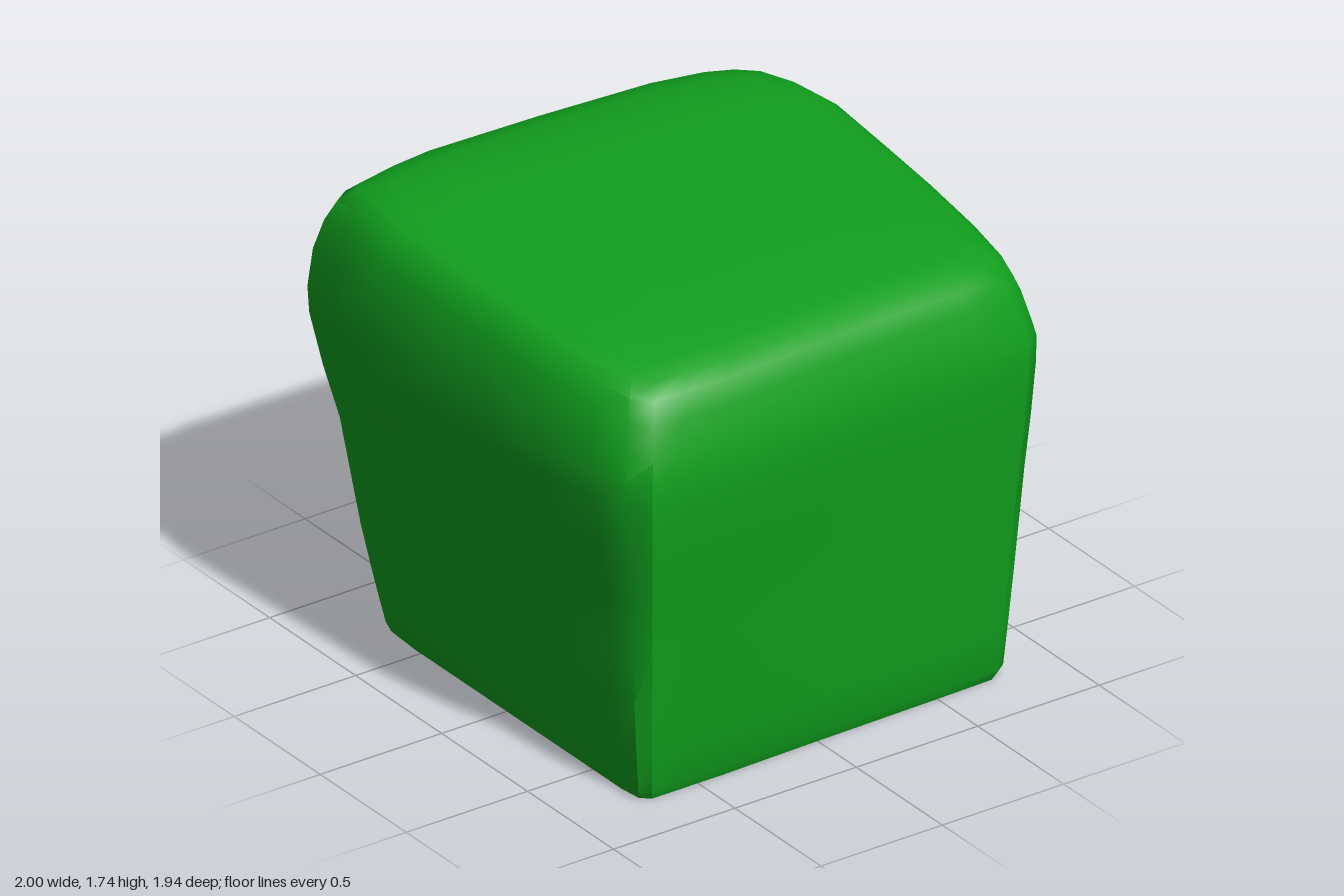
import * as THREE from 'three';
import { toCreasedNormals } from 'three/addons/utils/BufferGeometryUtils.js';

// Widest plan outline [x, z], counter-clockwise seen from above, from the front -x corner
const WIDE = [
  [-0.80, 0.945], [-0.68, 0.957], [-0.48, 0.965], [0, 0.935], [0.30, 0.91], [0.60, 0.90], [0.80, 0.88],
  [0.87, 0.82], [0.90, 0.73], [0.93, 0.52], [0.965, 0.20], [0.985, -0.10], [1.0, -0.45], [0.975, -0.65], [0.94, -0.82],
  [0.87, -0.895], [0.75, -0.925], [0.52, -0.96], [0, -0.97], [-0.52, -0.972], [-0.70, -0.95], [-0.86, -0.93],
  [-0.93, -0.88], [-0.965, -0.70], [-1.0, -0.45], [-0.98, -0.10], [-0.965, 0.20], [-0.95, 0.52], [-0.91, 0.75], [-0.87, 0.88],
];
// Matching outline at the foot, a nearly square one with small corner cuts
const FOOT = [
  [-0.70, 0.80], [-0.58, 0.80], [-0.40, 0.80], [0, 0.79], [0.30, 0.785], [0.55, 0.78], [0.74, 0.775],
  [0.785, 0.745], [0.80, 0.69], [0.80, 0.48], [0.80, 0.20], [0.80, -0.10], [0.80, -0.40], [0.80, -0.55], [0.795, -0.69],
  [0.755, -0.735], [0.65, -0.75], [0.45, -0.755], [0, -0.755], [-0.45, -0.755], [-0.58, -0.75], [-0.70, -0.74],
  [-0.735, -0.70], [-0.745, -0.55], [-0.745, -0.40], [-0.745, -0.10], [-0.745, 0.20], [-0.745, 0.48], [-0.745, 0.68], [-0.735, 0.77],
];

// Piecewise linear lookup
function lookup(table, v) {
  if (v <= table[0][0]) return table[0][1];
  for (let i = 1; i < table.length; i++) {
    const [a, p] = table[i - 1], [b, q] = table[i];
    if (v <= b) return p + ((q - p) * (v - a)) / (b - a);
  }
  return table[table.length - 1][1];
}

// Height of the uneven top: a slope along z plus a sag along x
const RIDGE = [[-0.95, 1.66], [-0.84, 1.69], [-0.62, 1.735], [-0.42, 1.74], [-0.1, 1.715], [0.2, 1.695], [0.58, 1.67], [0.88, 1.62], [0.97, 1.58]];
const SAG = [[-1, -0.05], [-0.85, -0.025], [-0.55, 0], [0, -0.01], [0.6, -0.03], [0.85, -0.07], [1, -0.10]];
const topHeight = (x, z) => lookup(RIDGE, z) + lookup(SAG, x);

// Wall levels [y, blend from foot to wide outline]
const WALL = [[0.035, 0], [0.2, 0.15], [0.4, 0.32], [0.6, 0.48], [0.8, 0.64], [1.0, 0.83], [1.2, 0.98], [1.3, 1]];
// Shoulder and top rings [scale, drop below the top height]
const CAP = [[0.985, 0.20], [0.955, 0.10], [0.92, 0.035], [0.87, 0.004], [0.78, 0], [0.6, 0], [0.4, 0], [0.2, 0]];

function blockGeometry() {
  const n = WIDE.length;
  const rings = [];

  // Underside edge
  rings.push(FOOT.map(([x, z]) => [x * 0.982, 0, z * 0.98]));

  // Flaring walls, with a slight hollow near the front -x corner
  for (const [y, t] of WALL) {
    rings.push(WIDE.map(([wx, wz], i) => {
      const [fx, fz] = FOOT[i];
      const hollow = wx < -0.85 ? 0.09 * Math.exp(-(((y - 0.8) / 0.25) ** 2)) : 0;
      const k = t - hollow * (wz > 0 ? 1.6 : 1);
      return [fx + (wx - fx) * k, y, fz + (wz - fz) * t];
    }));
  }

  // Rounded shoulder and gently bumpy top
  for (const [s, drop] of CAP) {
    rings.push(WIDE.map(([wx, wz]) => {
      const x = wx * s, z = wz * s;
      return [x, topHeight(x, z) - drop, z];
    }));
  }

  const positions = rings.flat(2);
  const index = [];
  for (let j = 0; j < rings.length - 1; j++) {
    for (let i = 0; i < n; i++) {
      const k = (i + 1) % n;
      const a = j * n + i, b = j * n + k;
      index.push(a, b, b + n, a, b + n, a + n);
    }
  }

  // Close the top and the underside with fans
  const last = (rings.length - 1) * n;
  const topCentre = rings.length * n;
  positions.push(0, topHeight(0, 0), 0, 0, 0, 0);
  for (let i = 0; i < n; i++) {
    const k = (i + 1) % n;
    index.push(last + i, last + k, topCentre);
    index.push(k, i, topCentre + 1);
  }

  const geometry = new THREE.BufferGeometry();
  geometry.setAttribute('position', new THREE.Float32BufferAttribute(positions, 3));
  geometry.setIndex(index);
  return toCreasedNormals(geometry, 0.6);
}

export function createModel() {
  const group = new THREE.Group();
  group.name = 'bush';
  const foliage = new THREE.Mesh(blockGeometry(), new THREE.MeshStandardMaterial({ color: 0x11a01e }));
  foliage.name = 'trimmedFoliageBlock';
  group.add(foliage);
  return group;
}
